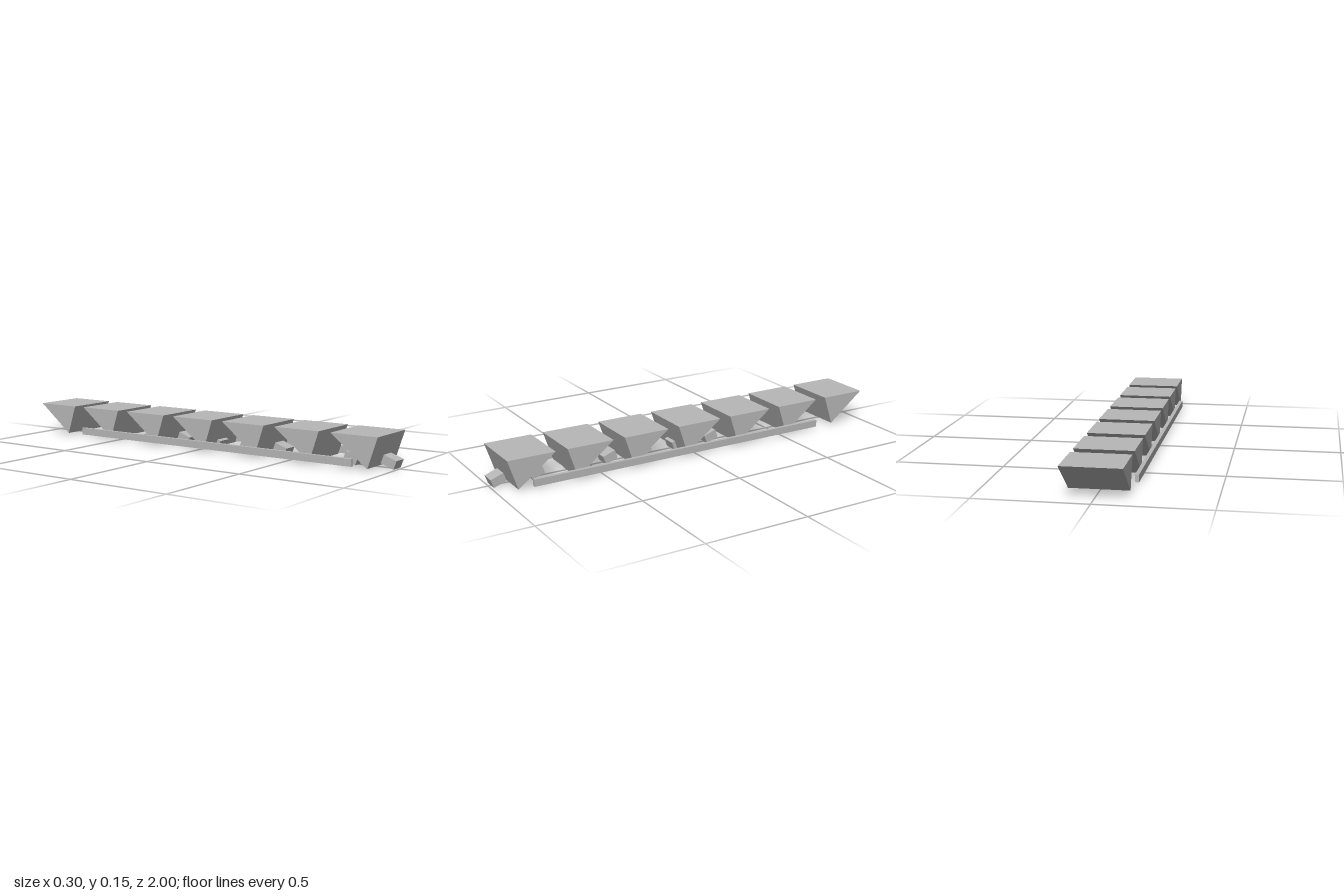
import * as THREE from 'three';

export function createModel() {
  const model = new THREE.Group();
  const grey = new THREE.MeshStandardMaterial({ color: 0xb8b8b8 });
  grey.name = 'plain grey';

  const add = (name, geometry, x, y, z) => {
    const mesh = new THREE.Mesh(geometry, grey);
    mesh.name = name;
    mesh.position.set(x, y, z);
    model.add(mesh);
    return mesh;
  };

  // Wedge: a triangular prism across x, flat on top, its lower edge near the front.
  // The shape's x axis becomes -z after the turn.
  const width = 0.264;
  const profile = new THREE.Shape([
    new THREE.Vector2(0, 0.152),
    new THREE.Vector2(0.047, 0.01),
    new THREE.Vector2(0.23, 0.152),
  ]);
  const wedge = new THREE.ExtrudeGeometry(profile, { depth: width, bevelEnabled: false });
  wedge.translate(0, 0, -width / 2).rotateY(Math.PI / 2);
  for (let i = 0; i < 7; i++) add(`wedge${i + 1}`, wedge, 0, 0, 0.958 - i * 0.288);

  // Small tilted blocks along the middle, lower at the front
  const block = new THREE.BoxGeometry(0.07, 0.0415, 0.065);
  for (let i = 0; i < 7; i++) {
    add(`block${i + 1}`, block, 0, 0.031, 0.963 - i * 0.185).rotation.x = THREE.MathUtils.degToRad(20);
  }

  // Side rails
  const rail = new THREE.BoxGeometry(0.018, 0.034, 1.548);
  add('leftRail', rail, 0.141, 0.032, 0.068);
  add('rightRail', rail, -0.141, 0.032, 0.068);

  return model;
}
